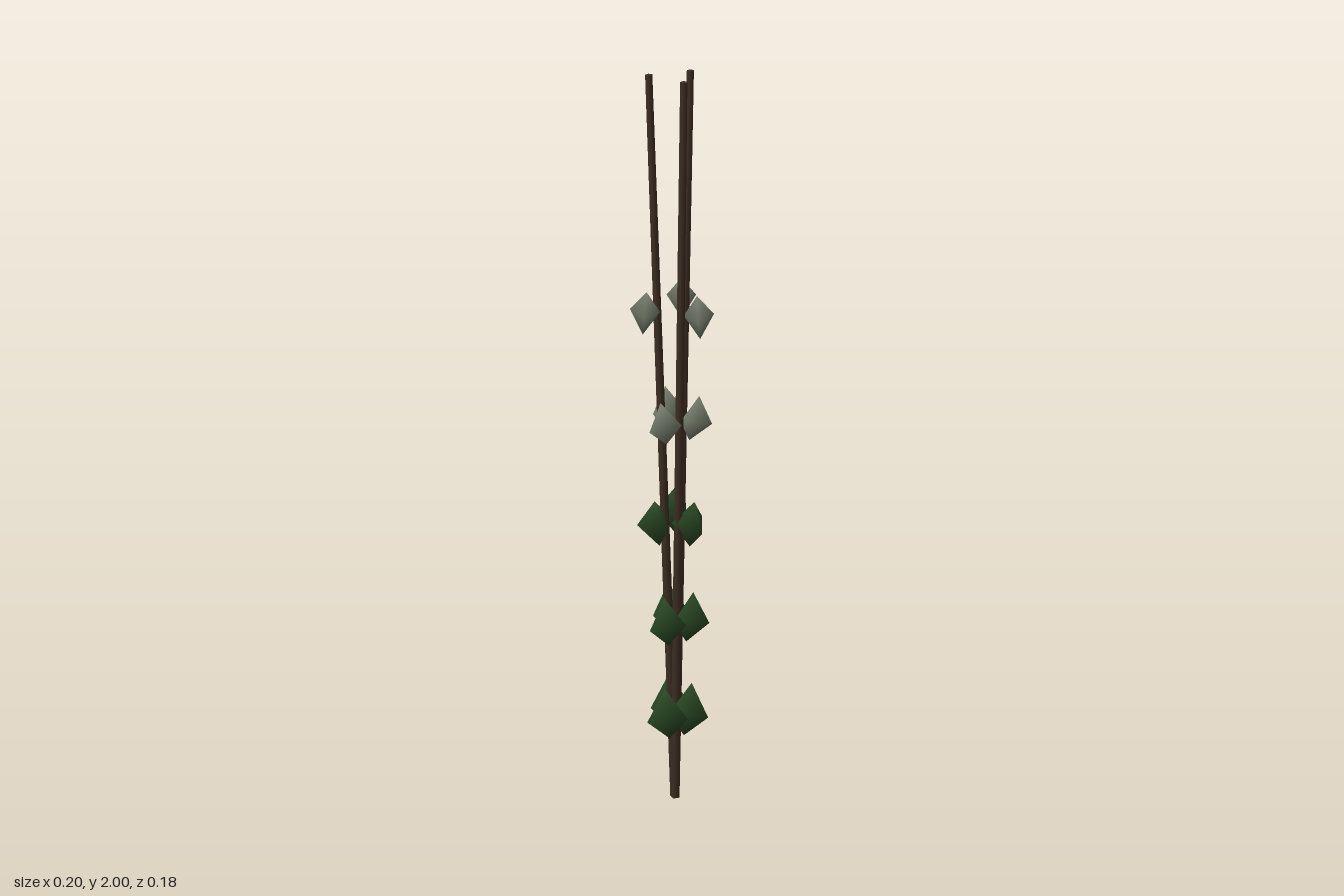
import * as THREE from 'three';

const UP = new THREE.Vector3(0, 1, 0);

export function createModel() {
  const model = new THREE.Group();
  model.name = 'plant';

  // three-way symmetric shoot around a slightly offset root
  const shoot = new THREE.Group();
  shoot.name = 'shoot';
  shoot.position.set(-0.008, 0, -0.006);
  model.add(shoot);

  const bark = new THREE.MeshStandardMaterial({ color: 0x3f2f23 });
  const green = new THREE.MeshStandardMaterial({ color: 0x2b4a25 });
  const grey = new THREE.MeshStandardMaterial({ color: 0x7b8271 });

  // stems lean outwards and taper
  const spread = 0.059;
  const length = Math.hypot(2, spread);
  const stemGeo = new THREE.CylinderGeometry(0.009, 0.014, length, 5).translate(0, length / 2, 0);
  for (let i = 0; i < 3; i++) {
    const a = (i * Math.PI * 2) / 3;
    const stem = new THREE.Mesh(stemGeo, bark);
    stem.name = 'stem' + (i + 1);
    const dir = new THREE.Vector3(spread * Math.cos(a), 2, spread * Math.sin(a)).normalize();
    stem.quaternion.setFromUnitVectors(UP, dir);
    shoot.add(stem);
  }

  // leaf: three-sided double pyramid with soft shading, one corner along +x
  const leafGeo = new THREE.SphereGeometry(1, 3, 2).rotateY(Math.PI);

  // whorls of three leaves, smaller and paler towards the top
  const whorls = [
    { angle: 60, dist: 0.034, r: 0.062, h: 0.085, yaw: 20, lean: 0.12, mat: green },
    { angle: 58, dist: 0.038, r: 0.055, h: 0.076, yaw: 14, lean: 0.12, mat: green },
    { angle: 84, dist: 0.051, r: 0.051, h: 0.066, yaw: 28, lean: 0.1, mat: green },
    { angle: 57, dist: 0.048, r: 0.047, h: 0.062, yaw: 12, lean: 0.2, mat: grey },
    { angle: 93, dist: 0.076, r: 0.042, h: 0.054, yaw: 50, lean: -0.1, mat: grey },
  ];
  whorls.forEach((w, k) => {
    const whorl = new THREE.Group();
    whorl.name = 'leafWhorl' + (k + 1);
    whorl.position.y = ((k + 1) * 2) / 7;
    for (let i = 0; i < 3; i++) {
      const arm = new THREE.Group();
      arm.name = 'leafArm';
      arm.rotation.y = -THREE.MathUtils.degToRad(w.angle + i * 120);
      const tilt = new THREE.Group();
      tilt.name = 'leafTilt';
      tilt.position.x = w.dist;
      tilt.rotation.z = -w.lean;
      const leaf = new THREE.Mesh(leafGeo, w.mat);
      leaf.name = 'leaf';
      leaf.scale.set(w.r, w.h, w.r);
      leaf.rotation.y = -THREE.MathUtils.degToRad(w.yaw);
      tilt.add(leaf);
      arm.add(tilt);
      whorl.add(arm);
    }
    shoot.add(whorl);
  });

  return model;
}
